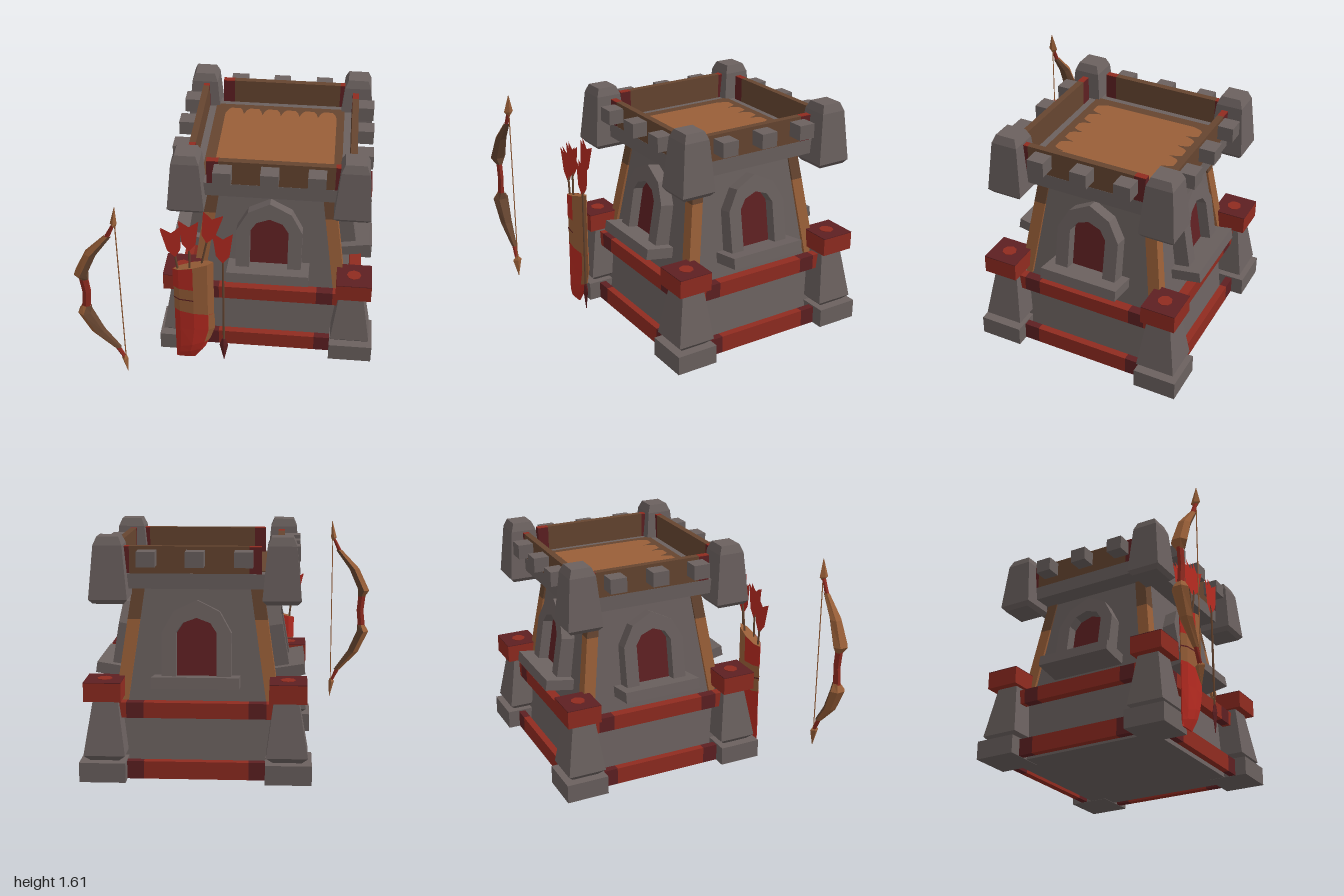
import * as THREE from 'three';

const mat = (name, color, side = THREE.FrontSide) =>
  Object.assign(new THREE.MeshStandardMaterial({ color, side }), { name });
const stone = mat('stone grey', 0x6b615f);
const red = mat('painted red', 0x902b20);
const brightRed = mat('bright red', 0xb82b21, THREE.DoubleSide);
const maroon = mat('maroon', 0x5e2022);
const wood = mat('light wood', 0x995f38);
const darkWood = mat('dark wood', 0x664530);

function add(parent, name, geometry, material, x = 0, y = 0, z = 0) {
  const mesh = new THREE.Mesh(geometry, material);
  mesh.name = name;
  mesh.position.set(x, y, z);
  parent.add(mesh);
  return mesh;
}

// box given by its limits on each axis
function block(parent, name, material, x0, x1, y0, y1, z0, z1) {
  return add(parent, name, new THREE.BoxGeometry(Math.abs(x1 - x0), y1 - y0, z1 - z0), material,
    (x0 + x1) / 2, (y0 + y1) / 2, (z0 + z1) / 2);
}

// faceted skin over rings [x, y, z, radiusX, radiusZ, tilt], listed from bottom to top
function loft(rings, n, start = 0, arc = Math.PI * 2) {
  const pos = [];
  const pt = ([x, y, z, rx, rz, tilt = 0], i) => {
    const t = start + arc * i / n;
    return [x + rx * Math.sin(t), y + tilt * Math.sin(t), z + rz * Math.cos(t)];
  };
  const tri = (a, b, c) => pos.push(...a, ...b, ...c);
  const lo = rings[0], hi = rings[rings.length - 1];
  for (let i = 0; i < n; i++) {
    for (let k = 0; k + 1 < rings.length; k++) {
      const a = pt(rings[k], i), b = pt(rings[k], i + 1);
      const c = pt(rings[k + 1], i + 1), d = pt(rings[k + 1], i);
      tri(a, b, d);
      tri(b, c, d);
    }
    if (arc > 6) {
      tri(lo.slice(0, 3), pt(lo, i + 1), pt(lo, i));
      tri(hi.slice(0, 3), pt(hi, i), pt(hi, i + 1));
    }
  }
  const g = new THREE.BufferGeometry();
  g.setAttribute('position', new THREE.Float32BufferAttribute(pos, 3));
  g.computeVertexNormals();
  return g;
}

// square column from [centre, y, half width], centre lying on the tower diagonal
const column = rows => loft(rows.map(([c, y, h]) =>
  [c, y, c, h * Math.SQRT2, h * Math.SQRT2]), 4, Math.PI / 4);

const polygon = pts => new THREE.Shape(pts.map(p => new THREE.Vector2(...p)));
const arch = (w, side, shoulderX, shoulderY, top) => [
  [-w, 0], [w, 0], [w, side], [shoulderX, shoulderY], [0, top], [-shoulderX, shoulderY], [-w, side]];

const BOTTOM = 0.585, TOP = 0.42, HEIGHT = 1.27;
const wallAt = y => BOTTOM - (BOTTOM - TOP) * y / HEIGHT;

function buildWindow() {
  const g = new THREE.Group();
  g.name = 'window';
  const frame = polygon(arch(0.228, 0.29, 0.15, 0.43, 0.505));
  frame.holes.push(new THREE.Path(polygon(arch(0.133, 0.29, 0.09, 0.355, 0.388)).getPoints()));
  add(g, 'windowFrame', new THREE.ExtrudeGeometry(frame, { depth: 0.14, bevelEnabled: false }), stone, 0, 0, -0.03);
  add(g, 'windowPanel', new THREE.ShapeGeometry(polygon(arch(0.135, 0.29, 0.092, 0.355, 0.39))), maroon, 0, 0, 0.035);
  block(g, 'windowSill', stone, -0.285, 0.285, -0.07, 0.005, -0.03, 0.21);
  g.position.set(0, 0.675, wallAt(0.675));
  g.rotation.x = -0.165;
  return g;
}

// one wall's fittings and one corner; m mirrors the painted plank ends
function buildSide(m) {
  const g = new THREE.Group();
  g.name = 'towerSide';
  g.add(buildWindow());

  // painted rails with dark ends, standing just clear of the wall
  for (const [y0, y1, z0, z1] of [[0.015, 0.135, 0.625, 0.675], [0.42, 0.525, 0.57, 0.635]]) {
    block(g, 'rail', red, -0.345, 0.345, y0, y1, z0, z1);
    for (const s of [-1, 1]) {
      block(g, 'railEnd', maroon, s * 0.345, s * 0.46, y0, y1, z0, z1);
      block(g, 'railCorner', red, s * 0.46, s * 0.6, y0, y1, z0, z1);
    }
  }

  // parapet plank, its painted ends and its stone teeth
  block(g, 'parapetPlank', darkWood, -m * 0.345, m * 0.43, 1.36, 1.547, 0.52, 0.565);
  for (const [a, b] of [[-0.425, -0.345], [0.43, 0.465]]) {
    block(g, 'plankPaint', maroon, m * a, m * b, 1.36, 1.543, 0.52, 0.565);
    block(g, 'plankPaintTop', red, m * a, m * b, 1.543, 1.547, 0.52, 0.565);
  }
  for (const x of [-0.312, 0, 0.312])
    block(g, 'parapetTooth', stone, x - 0.06, x + 0.06, 1.425, 1.525, 0.555, 0.675);

  // corner: pad, buttress, painted cap, timber and turret stone
  block(g, 'cornerPad', stone, 0.455, 0.76, 0.013, 0.145, 0.455, 0.76);
  add(g, 'buttress', column([[0.6, 0.14, 0.09], [0.597, 0.185, 0.137], [0.59, 0.56, 0.08]]), stone);
  block(g, 'buttressCap', red, 0.48, 0.725, 0.55, 0.673, 0.48, 0.725);
  block(g, 'capTop', maroon, 0.48, 0.725, 0.673, 0.678, 0.48, 0.725);
  add(g, 'capStud', new THREE.CylinderGeometry(0.05, 0.05, 0.006, 8), red, 0.6, 0.679, 0.6);
  add(g, 'cornerTimber', column([[0.502, 0.5, 0.043], [0.421, 1.05, 0.042]]), wood);
  add(g, 'cornerTimberTop', column([[0.421, 1.05, 0.042], [0.387, 1.28, 0.041]]), darkWood);
  add(g, 'cornerTurret', column([[0.557, 1.185, 0.1], [0.557, 1.215, 0.125],
    [0.557, 1.56, 0.093], [0.557, 1.615, 0.07]]), stone);
  return g;
}

function buildTower() {
  const g = new THREE.Group();
  g.name = 'tower';
  add(g, 'walls', column([[0, 0.015, BOTTOM], [0, HEIGHT, TOP]]), stone);
  block(g, 'parapetLedge', stone, -0.566, 0.566, HEIGHT, 1.37, -0.566, 0.566);
  block(g, 'floorBorder', darkWood, -0.47, 0.47, 1.37, 1.376, -0.47, 0.47);

  // worn centre of the floor with ragged plank ends
  const edge = [], planks = 6, w = 0.81 / planks;
  for (let k = 0; k < planks; k++) {
    const x = -0.395 + k * w;
    edge.push([x, 0.33], [x + 0.02, 0.39], [x + 0.04, 0.412], [x + w - 0.03, 0.412], [x + w - 0.012, 0.38]);
  }
  edge.push([0.415, 0.33]);
  const ring = [...edge, ...edge.map(([x, y]) => [x, -y]).reverse()];
  add(g, 'wornFloor', new THREE.ShapeGeometry(polygon(ring)), wood, 0, 1.38, 0).rotation.x = -Math.PI / 2;

  for (let i = 0; i < 4; i++) {
    const side = buildSide(i === 0 ? 1 : -1);
    side.rotation.y = i * Math.PI / 2;
    g.add(side);
  }
  g.position.set(0.238, 0, -0.206);
  g.scale.z = 0.975;
  return g;
}

// arrow whose origin is the lower end of the feathers
function buildArrow(x, y, z, lean, length, hasHead) {
  const g = new THREE.Group();
  g.name = 'arrow';
  add(g, 'arrowShaft', new THREE.CylinderGeometry(0.008, 0.008, length + 0.15, 6), darkWood, 0, (0.15 - length) / 2, 0);
  for (const s of [-1, 1])
    add(g, 'arrowFeathers', new THREE.ShapeGeometry(polygon([[0, -0.02], [0.045, 0.04],
      [0.067, 0.22], [0, 0.17], [-0.067, 0.22], [-0.045, 0.04]])), brightRed, 0, 0, s * 0.009);
  if (hasHead) add(g, 'arrowHead', loft([[0, -length - 0.11, 0, 0.002, 0.002], [0, -length + 0.03, 0, 0.031, 0.018],
    [0, -length + 0.09, 0, 0.012, 0.01]], 4), maroon);
  g.position.set(x, y, z);
  g.rotation.z = lean;
  return g;
}

function buildQuiver() {
  const g = new THREE.Group();
  g.name = 'quiver';
  const x = -0.257, z = 0.598, seam = [x, 0.45, z, 0.139, 0.038, -0.015];
  const heel = [-0.275, 0.15, z, 0.121, 0.038, 0.04], calf = [x, 0.3, z, 0.139, 0.038];
  const swell = ([cx, y, cz, rx, rz, tilt]) => [cx, y, cz, rx + 0.003, rz + 0.003, tilt];
  add(g, 'quiverBoot', loft([[-0.33, 0.005, z, 0.066, 0.006], [-0.292, 0.08, z, 0.104, 0.03, 0.03],
    heel, calf, seam], 8), brightRed);
  add(g, 'quiverBody', loft([seam, [x, 0.86, z, 0.139, 0.038, 0.04]], 8), wood);
  // bare edge on the right, paint and strap on the left
  add(g, 'quiverBareEdge', loft([heel, calf, seam].map(swell), 2, Math.PI / 4, Math.PI / 2), wood);
  add(g, 'quiverPatch', loft([[x, 0.665, z, 0.142, 0.041], [x, 0.86, z, 0.142, 0.041, 0.04]],
    4, Math.PI, Math.PI), brightRed);
  add(g, 'quiverStrap', loft([[x, 0.565, z, 0.142, 0.041], [x, 0.575, z, 0.142, 0.041]],
    4, Math.PI, Math.PI), maroon);
  g.add(buildArrow(-0.378, 0.95, 0.6, 0.12, 0.25, false));
  g.add(buildArrow(-0.277, 1.02, 0.616, 0, 0.3, false));
  g.add(buildArrow(-0.158, 1.075, 0.585, -0.2, 0.35, false));
  return g;
}

function buildBow() {
  const g = new THREE.Group();
  g.name = 'bow';
  const z = 0.89, mid = 0.82, limb = [[-0.935, 0.115, 0.032, 0.026], [-0.952, 0.165, 0.048, 0.058],
    [-0.875, 0.335, 0.045, 0.044], [-0.75, 0.485, 0.026, 0.02]];
  // half of the bow, heights measured from the grip; limbs are dark on the string side
  const parts = [
    ['bowGrip', red, [[-0.927, 0, 0.03, 0.022], [-0.94, 0.125, 0.032, 0.022]], 6, 0, 2],
    ['bowLimbInner', darkWood, limb, 3, 0, 1],
    ['bowLimbOuter', wood, limb, 3, 1, 1],
    ['bowNeck', red, [[-0.76, 0.47, 0.02, 0.016], [-0.705, 0.585, 0.012, 0.016]], 6, 0, 2],
    ['bowTip', wood, [[-0.705, 0.56, 0.01, 0.012], [-0.708, 0.585, 0.022, 0.034], [-0.694, 0.71, 0.002, 0.002]], 4, 0, 2],
  ];
  for (const s of [1, -1]) for (const [name, material, rows, n, start, arc] of parts) {
    const rings = rows.map(([x, y, rx, rz]) => [x, mid + s * y, z, rx, rz]);
    add(g, name, loft(s > 0 ? rings : rings.reverse(), n, start * Math.PI, arc * Math.PI), material);
  }
  add(g, 'bowString', new THREE.CylinderGeometry(0.004, 0.004, 1.24, 6), wood, -0.7, mid, z);
  return g;
}

export function createModel() {
  const model = new THREE.Group();
  model.name = 'archeryTower';
  model.add(buildTower(), buildQuiver(), buildBow(), buildArrow(-0.045, 0.97, 0.66, 0, 0.8, true));
  return model;
}
